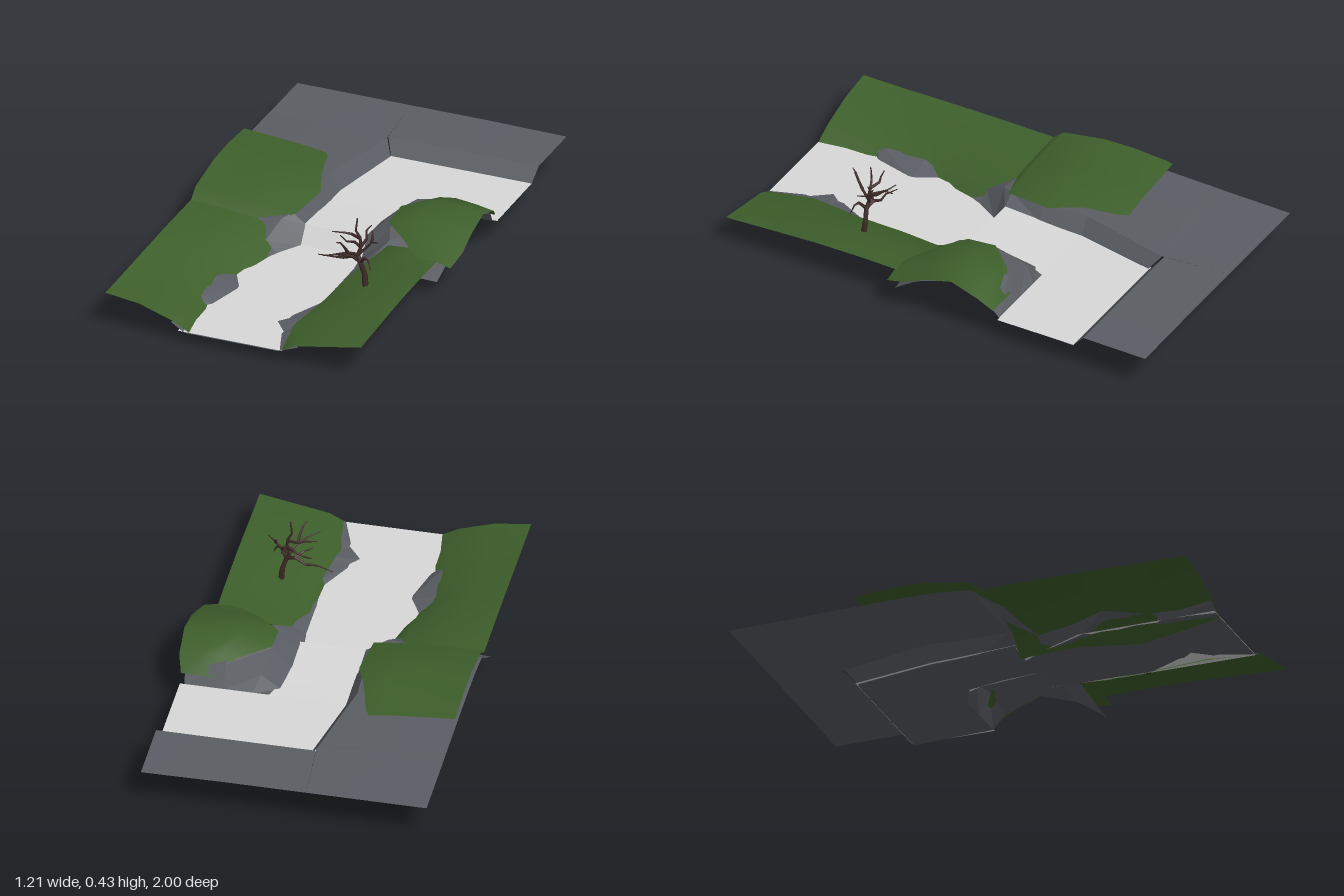
import * as THREE from 'three';

const mat = (name, color, flatShading = false) => {
  const m = new THREE.MeshStandardMaterial({ color, flatShading, side: THREE.DoubleSide });
  m.name = name;
  return m;
};

// Open sheet lofted through cross-sections; each row is [z, x0, y0, x1, y1, ...]
function sheet(name, material, rows) {
  const cols = (rows[0].length - 1) / 2, pos = [], index = [];
  rows.forEach(([z, ...p], r) => {
    for (let c = 0; c < cols; c++) {
      pos.push(p[c * 2], p[c * 2 + 1], z);
      if (r && c) {
        const d = r * cols + c, b = d - cols;
        index.push(b - 1, d - 1, b, b, d - 1, d);
      }
    }
  });
  const g = new THREE.BufferGeometry();
  g.setAttribute('position', new THREE.Float32BufferAttribute(pos, 3));
  g.setIndex(index);
  g.computeVertexNormals();
  const mesh = new THREE.Mesh(g, material);
  mesh.name = name;
  return mesh;
}

// Crooked tapering limb through a list of points
function limb(name, material, points, r0, r1) {
  const group = new THREE.Group();
  group.name = name;
  const v = points.map(p => new THREE.Vector3(...p)), n = v.length - 1;
  for (let i = 0; i < n; i++) {
    const dir = v[i + 1].clone().sub(v[i]), len = dir.length();
    const rad = t => r0 + (r1 - r0) * t / n;
    const seg = new THREE.Mesh(new THREE.CylinderGeometry(rad(i + 1), rad(i), len * 1.06, 6), material);
    seg.position.copy(v[i]).addScaledVector(dir, 0.5);
    seg.quaternion.setFromUnitVectors(new THREE.Vector3(0, 1, 0), dir.normalize());
    seg.name = name + 'Segment';
    group.add(seg);
  }
  return group;
}

export function createModel() {
  const model = new THREE.Group();
  model.name = 'cliffPath';
  const rock = mat('rockGrey', 0x5a5d63, true);
  const grass = mat('grassGreen', 0x3e5f2b);
  const path = mat('pathLightGrey', 0xd8d8d8, true);
  const bark = mat('barkBrown', 0x3d2a27);

  // Left rock ledge with the wall beside the upper path
  model.add(sheet('leftRockLedge', rock, [
    [-1, -.6, .17, -.4, .17, -.2, .17, -.1, .17],
    [-.7, -.6, .175, -.4, .175, -.085, .17, -.075, .17],
    [-.65, -.6, .177, -.4, .177, -.085, .17, -.04, .108],
    [-.3, -.6, .185, -.4, .185, -.16, .18, -.11, .108],
    [-.1, -.6, .185, -.4, .185, -.15, .175, -.11, .116],
    [.06, -.6, .17, -.4, .17, -.17, .17, -.11, .125],
    [.11, -.6, .13, -.4, .13, -.2, .16, -.11, .052],
    [.21, -.605, .065, -.4, .08, -.23, .1, -.17, .052],
  ]));

  // Back slab, sunken floor and the right rock mound
  model.add(sheet('rightRockMound', rock, [
    [-1, -.1, .17, .1, .17, .25, .17, .4, .168, .59, .166],
    [-.71, -.075, .17, .1, .17, .25, .17, .4, .17, .59, .17],
    [-.655, -.04, .108, .1, .108, .25, .108, .4, .108, .58, .108],
    [-.3, -.11, .108, .2, .108, .28, .108, .4, .108, .56, .108],
    [-.25, -.11, .11, .17, .11, .25, .17, .4, .2, .57, .17],
    [-.1, -.11, .116, .15, .116, .24, .2, .38, .25, .58, .235],
    [.06, -.11, .125, .15, .125, .26, .19, .4, .2, .58, .18],
    [.11, -.11, .052, .15, .052, .28, .16, .4, .15, .55, .14],
    [.21, -.17, .052, .16, .052, .22, .09, .43, .068, .53, .065],
  ]));

  // Rocky banks of the lower path
  model.add(sheet('lowerRockBanks', rock, [
    [.21, -.23, .1, -.17, .052, .16, .052, .22, .09],
    [.41, -.3, .095, -.26, .052, .16, .052, .21, .09],
    [.54, -.36, .1, -.19, .052, .17, .052, .2, .08],
    [.72, -.29, .085, -.235, .052, .08, .052, .19, .08],
    [.77, -.3, .08, -.28, .052, .04, .052, .16, .07],
    [.86, -.29, .08, -.27, .052, .11, .052, .17, .075],
    [1, -.31, .09, -.25, .052, .16, .052, .25, .085],
  ]));

  // Path: upper bend, step and lower stretch
  model.add(sheet('path', path, [
    [-.66, -.055, .112, .58, .112],
    [-.3, -.125, .112, .58, .112],
    [-.299, -.125, .112, .21, .112],
    [-.2, -.125, .115, .17, .115],
    [.06, -.12, .13, .16, .13],
    [.11, -.13, .056, .16, .056],
    [.4, -.27, .056, .18, .056],
    [1, -.28, .056, .18, .056],
  ]));

  // Grass cover on the four hills
  model.add(sheet('backLeftGrass', grass, [
    [-.45, -.6, .225, -.42, .21, -.32, .2, -.24, .187],
    [-.42, -.6, .23, -.42, .213, -.32, .206, -.22, .19],
    [-.27, -.6, .24, -.4, .222, -.28, .222, -.18, .2],
    [-.13, -.6, .237, -.4, .22, -.25, .22, -.13, .18],
    [.06, -.6, .205, -.4, .2, -.27, .19, -.15, .175],
    [.115, -.6, .16, -.4, .15, -.3, .14, -.23, .14],
  ]));
  model.add(sheet('backRightGrass', grass, [
    [-.28, .44, .15, .48, .15, .54, .15, .58, .15],
    [-.22, .36, .215, .43, .225, .52, .215, .6, .2],
    [-.1, .24, .207, .37, .26, .5, .255, .605, .247],
    [.03, .24, .195, .37, .235, .5, .23, .605, .212],
    [.12, .34, .185, .42, .19, .52, .185, .605, .17],
    [.21, .44, .15, .48, .155, .53, .155, .59, .14],
  ]));
  model.add(sheet('frontLeftGrass', grass, [
    [.1, -.6, .165, -.42, .155, -.25, .14, -.15, .05],
    [.35, -.6, .168, -.45, .14, -.26, .105, -.2, .035],
    [.5, -.6, .168, -.46, .135, -.345, .106, -.2, .02],
    [.65, -.6, .167, -.46, .13, -.31, .095, -.2, 0],
    [.78, -.6, .165, -.46, .13, -.29, .085, -.2, .02],
    [1, -.6, .165, -.45, .145, -.3, .095, -.22, .05],
  ]));
  model.add(sheet('frontRightGrass', grass, [
    [.13, .24, .1, .28, .145, .4, .155, .53, .157],
    [.35, .17, .05, .2, .093, .36, .145, .53, .163],
    [.57, .16, .05, .18, .08, .36, .145, .53, .162],
    [.8, .14, .05, .15, .075, .36, .13, .53, .152],
    [1, .18, .06, .24, .09, .38, .115, .53, .142],
  ]));

  // Bare tree
  const tree = new THREE.Group();
  tree.name = 'bareTree';
  tree.add(limb('trunk', bark, [[.325, .13, .47], [.32, .18, .465], [.305, .23, .47], [.29, .26, .465],
    [.3, .3, .46], [.295, .34, .455], [.278, .37, .46], [.285, .425, .46]], .013, .003));
  const branches = [
    [[.305, .235, .47], [.265, .25, .46], [.22, .23, .45], [.17, .228, .455], [.105, .217, .44]],
    [[.265, .25, .46], [.235, .265, .49], [.205, .262, .52]],
    [[.29, .265, .465], [.265, .29, .51], [.23, .295, .55], [.19, .3, .59]],
    [[.3, .3, .46], [.26, .3, .43], [.22, .29, .42], [.185, .3, .4]],
    [[.295, .335, .455], [.25, .34, .44], [.22, .345, .45], [.175, .345, .46]],
    [[.29, .265, .465], [.32, .295, .45], [.345, .325, .45], [.378, .338, .47]],
    [[.305, .235, .47], [.33, .27, .49], [.35, .265, .5], [.365, .23, .51]],
    [[.3, .3, .46], [.31, .32, .42], [.295, .34, .39], [.3, .345, .35]],
    [[.345, .325, .45], [.34, .34, .43], [.335, .36, .42]],
    [[.265, .29, .51], [.26, .32, .53], [.25, .35, .55], [.24, .36, .57]],
  ];
  branches.forEach((p, i) => tree.add(limb('branch', bark, p, i < 1 ? .009 : .0075, .002)));
  model.add(tree);
  return model;
}
